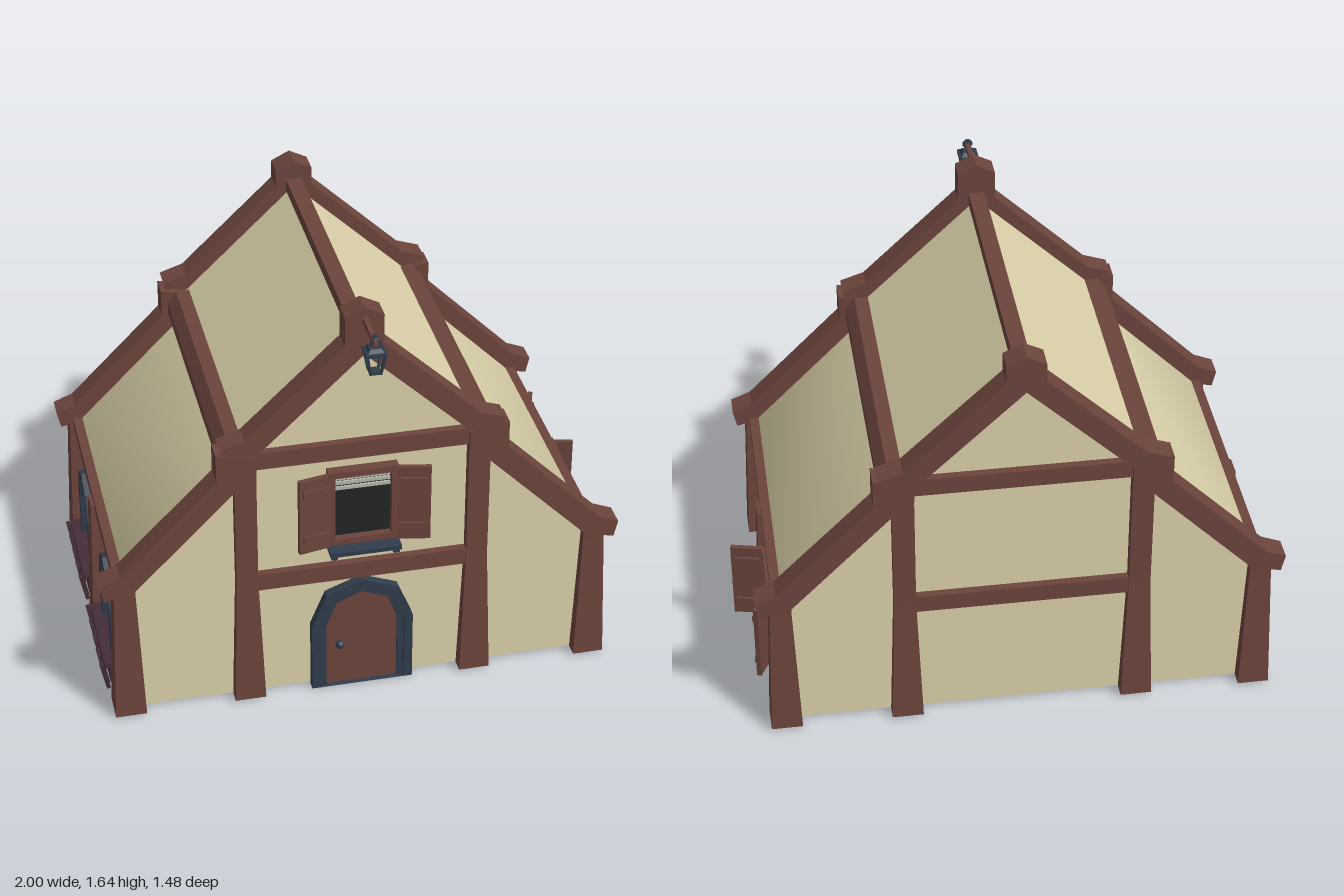
import * as THREE from 'three';

const mat = (name, color, side = THREE.FrontSide) => {
  const m = new THREE.MeshStandardMaterial({ color, side });
  m.name = name;
  return m;
};

export function createModel() {
  const timber = mat('timber', 0x6b443c);
  const plaster = mat('plaster', 0xdad0a9, THREE.DoubleSide);
  const slate = mat('slate blue', 0x313d4c);
  const glass = mat('dark glass', 0x232424);
  const blind = mat('pale grey', 0xb4b6aa);
  const plum = mat('plum', 0x442d39);

  const model = new THREE.Group();
  model.name = 'cottage';
  const house = new THREE.Group();
  house.name = 'house';
  house.position.x = -0.03;
  model.add(house);

  const add = (parent, name, geo, material, x = 0, y = 0, z = 0) => {
    const m = new THREE.Mesh(geo, material);
    m.name = name;
    m.position.set(x, y, z);
    parent.add(m);
    return m;
  };
  const box = (parent, name, w, h, d, x, y, z, material = timber) =>
    add(parent, name, new THREE.BoxGeometry(w, h, d), material, x, y, z);
  const group = (parent, name, x, y, z, ry = 0) => {
    const g = new THREE.Group();
    g.name = name;
    g.position.set(x, y, z);
    g.rotation.y = ry;
    parent.add(g);
    return g;
  };
  const shape = pts => new THREE.Shape(pts.map(p => new THREE.Vector2(...p)));
  const flip = pts => pts.map(([x, y]) => [-x, y]).reverse();
  const slab = (parent, name, s, z0, z1, material = timber) =>
    add(parent, name, new THREE.ExtrudeGeometry(s, { depth: z1 - z0, bevelEnabled: false }), material, 0, 0, z0);

  // Plaster gable walls
  const half = [[0.875, 0.01], [0.875, 0.56], [0.46, 0.975], [0.46, 1.055]];
  const gable = shape([...half, [0, 1.49], ...flip(half)]);
  add(house, 'frontWall', new THREE.ShapeGeometry(gable), plaster, 0, 0, 0.515);
  const back = add(house, 'backWall', new THREE.ShapeGeometry(gable), plaster, 0, 0, -0.675);
  back.rotation.y = Math.PI;

  // Sheets swept along z from a profile; shared points keep the eaves softly shaded
  const sheet = (name, pts, s) => {
    const pos = [], idx = [];
    pts.forEach(([x, y]) => pos.push(s * x, y, 0.515, s * x, y, -0.675));
    for (let i = 0; i < pts.length - 1; i++) {
      const a = 2 * i;
      if (s > 0) idx.push(a, a + 1, a + 2, a + 1, a + 3, a + 2);
      else idx.push(a, a + 2, a + 1, a + 1, a + 2, a + 3);
    }
    const g = new THREE.BufferGeometry();
    g.setAttribute('position', new THREE.Float32BufferAttribute(pos, 3));
    g.setIndex(idx);
    g.computeVertexNormals();
    add(house, name, g, plaster);
  };

  // Post with a flared foot
  const post = (name, x, z, top) => {
    const pts = [[0.058, 0.01], [0.04, 0.53], [0.04, top]];
    const g = new THREE.CylinderGeometry(Math.SQRT1_2, Math.SQRT1_2, 1, 4, 2).toNonIndexed();
    g.rotateY(Math.PI / 4);
    const p = g.attributes.position;
    for (let i = 0; i < p.count; i++) {
      const [r, y] = pts[Math.round((p.getY(i) + 0.5) * 2)];
      p.setXYZ(i, p.getX(i) * 2 * r, y, p.getZ(i) * 2 * r);
    }
    g.computeVertexNormals();
    add(house, name, g, timber, x, 0, z);
  };

  const lowerFrame = [[0.97, 0.6], [0.955, 0.535], [0.845, 0.56], [0.465, 0.945], [0.39, 1.0],
    [0.39, 1.075], [0.535, 1.1], [0.535, 0.99], [0.895, 0.63]];
  const purlin = [[0.42, 1.0], [0.47, 0.965], [0.51, 1.0], [0.51, 1.045], [0.475, 1.09], [0.42, 1.09]];
  for (const s of [1, -1]) {
    const side = s > 0 ? 'left' : 'right';
    const m = pts => shape(s > 0 ? pts : flip(pts));
    sheet(side + 'WallAndLowerRoof', [[0.875, 0.01], [0.875, 0.56], [0.46, 0.975]], s);
    sheet(side + 'UpperRoof', [[0.46, 1.055], [0, 1.49]], s);
    slab(house, side + 'FrontLowerRafter', m(lowerFrame), 0.468, 0.558);
    slab(house, side + 'BackLowerRafter', m(lowerFrame), -0.718, -0.63);
    slab(house, side + 'Purlin', m(purlin), -0.64, 0.475);
    box(house, side + 'EaveBeam', 0.045, 0.045, 1.12, s * 0.883, 0.543, -0.08);
    for (const z of [0.51, -0.672]) {
      post(side + 'CornerPost', s * 0.88, z, 0.57);
      post(side + 'InnerPost', s * 0.43, z, 1.07);
    }
    post(side + 'MiddlePost', s * 0.88, -0.08, 0.545);
  }

  // Upper gable frames; the back one has a lower ridge block
  const upperFrame = peak => {
    const outer = [[0.39, 1.08], [0.505, 1.06], [0.52, 1.12], [0.43, 1.15], [0.07, 1.49], [0.07, peak - 0.035]];
    return shape([[0, 1.45], ...outer, [0, peak], ...flip(outer)]);
  };
  slab(house, 'frontUpperRafters', upperFrame(1.637), 0.47, 0.555);
  slab(house, 'backUpperRafters', upperFrame(1.595), -0.745, -0.655);
  box(house, 'ridgeBeam', 0.06, 0.05, 1.15, 0, 1.495, -0.09);
  for (const z of [0.515, -0.675])
    for (const y of [0.522, 1.05]) box(house, 'crossBeam', 0.8, 0.068, 0.06, 0, y, z);

  // Pointed arch outline
  const arch = (w, h, spring) => {
    const r = [[w, 0], [w, spring], [w * 0.71, spring + (h - spring) * 0.72]];
    return [...r, [0, h], ...flip(r)];
  };
  const ring = (outer, inner) => {
    const s = shape(outer);
    s.holes.push(new THREE.Path(inner.map(p => new THREE.Vector2(...p))));
    return s;
  };

  // Front door
  const door = group(house, 'frontDoor', 0, 0.003, 0.5);
  slab(door, 'doorPanel', shape(arch(0.16, 0.445, 0.28)), 0, 0.028);
  slab(door, 'doorFrame', ring(arch(0.192, 0.475, 0.285), arch(0.158, 0.44, 0.28)), 0, 0.05, slate);
  slab(door, 'doorFrameInner', ring(arch(0.16, 0.442, 0.28), arch(0.135, 0.415, 0.275)), 0, 0.038, slate);
  add(door, 'doorKnob', new THREE.SphereGeometry(0.017, 12, 8), slate, -0.085, 0.187, 0.045);

  // Shuttered window facing +z, with an opening angle for each shutter
  const shutteredWindow = (name, x, y, z, ry, angles) => {
    const g = group(house, name, x, y, z, ry);
    box(g, 'pane', 0.21, 0.28, 0.008, 0, 0, 0.008, glass);
    for (const s of [1, -1]) {
      box(g, 'frameSide', 0.026, 0.315, 0.04, s * 0.117, 0, 0.02);
      box(g, 'frameRail', 0.21, 0.025, 0.04, 0, s * 0.145, 0.02);
    }
    [0.118, 0.098, 0.076].forEach(by => box(g, 'blindSlat', 0.205, 0.013, 0.008, 0, by, 0.016, blind));
    [-1, 1].forEach((s, i) => {
      const hinge = group(g, 'shutter', s * 0.128, 0, 0.04, -s * angles[i]);
      box(hinge, 'shutterPanel', 0.118, 0.312, 0.018, s * 0.059, 0, 0);
      for (const by of [-0.095, 0.1]) box(hinge, 'shutterBatten', 0.1, 0.028, 0.012, s * 0.055, by, 0.013);
    });
    return g;
  };
  const upper = shutteredWindow('frontWindow', 0, 0.81, 0.515, 0, [0.2, 0.2]);
  box(upper, 'windowSill', 0.265, 0.018, 0.09, 0, -0.167, 0.045, slate);
  for (const s of [1, -1]) box(upper, 'sillBracket', 0.024, 0.022, 0.08, s * 0.115, -0.183, 0.04, slate);
  shutteredWindow('sideWindow', 0.875, 0.308, -0.352, Math.PI / 2, [1.34, 0.45]);

  // Arched windows with flower boxes
  for (const z of [0.2, -0.372]) {
    const g = group(house, 'archedWindow', -0.875, 0, z, -Math.PI / 2);
    const win = group(g, 'archedLights', 0, 0.1, 0);
    slab(win, 'archedPane', shape(arch(0.115, 0.355, 0.21)), 0, 0.008, glass);
    slab(win, 'archedFrame', ring(arch(0.13, 0.375, 0.215), arch(0.1, 0.34, 0.205)), 0, 0.04, slate);
    for (const x of [-0.05, 0, 0.05]) box(win, 'glazingBar', 0.012, x ? 0.27 : 0.33, 0.01, x, x ? 0.135 : 0.165, 0.012, blind);
    for (const y of [0.08, 0.14, 0.2, 0.26]) box(win, 'glazingRail', y > 0.25 ? 0.16 : 0.2, 0.012, 0.01, 0, y, 0.012, blind);

    const planter = group(g, 'flowerBox', 0, 0, 0);
    box(planter, 'boxFill', 0.36, 0.09, 0.05, 0, 0.075, 0.03, plum);
    box(planter, 'boxRim', 0.39, 0.018, 0.075, 0, 0.118, 0.0375, plum);
    const n = 13;
    for (let i = 0; i < n; i++) {
      const t = (i / (n - 1)) * 2 - 1, h = 0.122 + 0.012 * (i % 3);
      const slat = box(planter, 'boxSlat', 0.023, h, 0.014, t * 0.178, 0.002 + h / 2, 0.075, plum);
      slat.rotation.set(0.2, 0, -t * 0.13);
    }
  }

  // Hanging lantern
  const lantern = group(house, 'lantern', 0, 0, 0.702);
  box(lantern, 'lanternArm', 0.018, 0.02, 0.19, 0, 1.592, -0.07);
  box(lantern, 'lanternHook', 0.012, 0.055, 0.012, 0, 1.589, 0, slate);
  add(lantern, 'lanternLoop', new THREE.TorusGeometry(0.015, 0.005, 6, 12), slate, 0, 1.592, 0.012);
  const plate = (name, r0, r1, h, y) => {
    const g = new THREE.CylinderGeometry(r0 * Math.SQRT2, r1 * Math.SQRT2, h, 4).toNonIndexed();
    g.rotateY(Math.PI / 4);
    g.computeVertexNormals();
    add(lantern, name, g, slate, 0, y, 0);
  };
  plate('lanternCap', 0.02, 0.028, 0.014, 1.563);
  plate('lanternRim', 0.037, 0.037, 0.012, 1.55);
  plate('lanternBase', 0.02, 0.02, 0.01, 1.471);
  const up = new THREE.Vector3(0, 1, 0);
  for (const sx of [1, -1]) for (const sz of [1, -1]) {
    const a = new THREE.Vector3(sx * 0.018, 1.468, sz * 0.018), b = new THREE.Vector3(sx * 0.032, 1.548, sz * 0.032);
    const bar = box(lantern, 'lanternBar', 0.009, a.distanceTo(b), 0.009, 0, 0, 0, slate);
    bar.position.copy(a).lerp(b, 0.5);
    bar.quaternion.setFromUnitVectors(up, b.sub(a).normalize());
  }
  return model;
}
